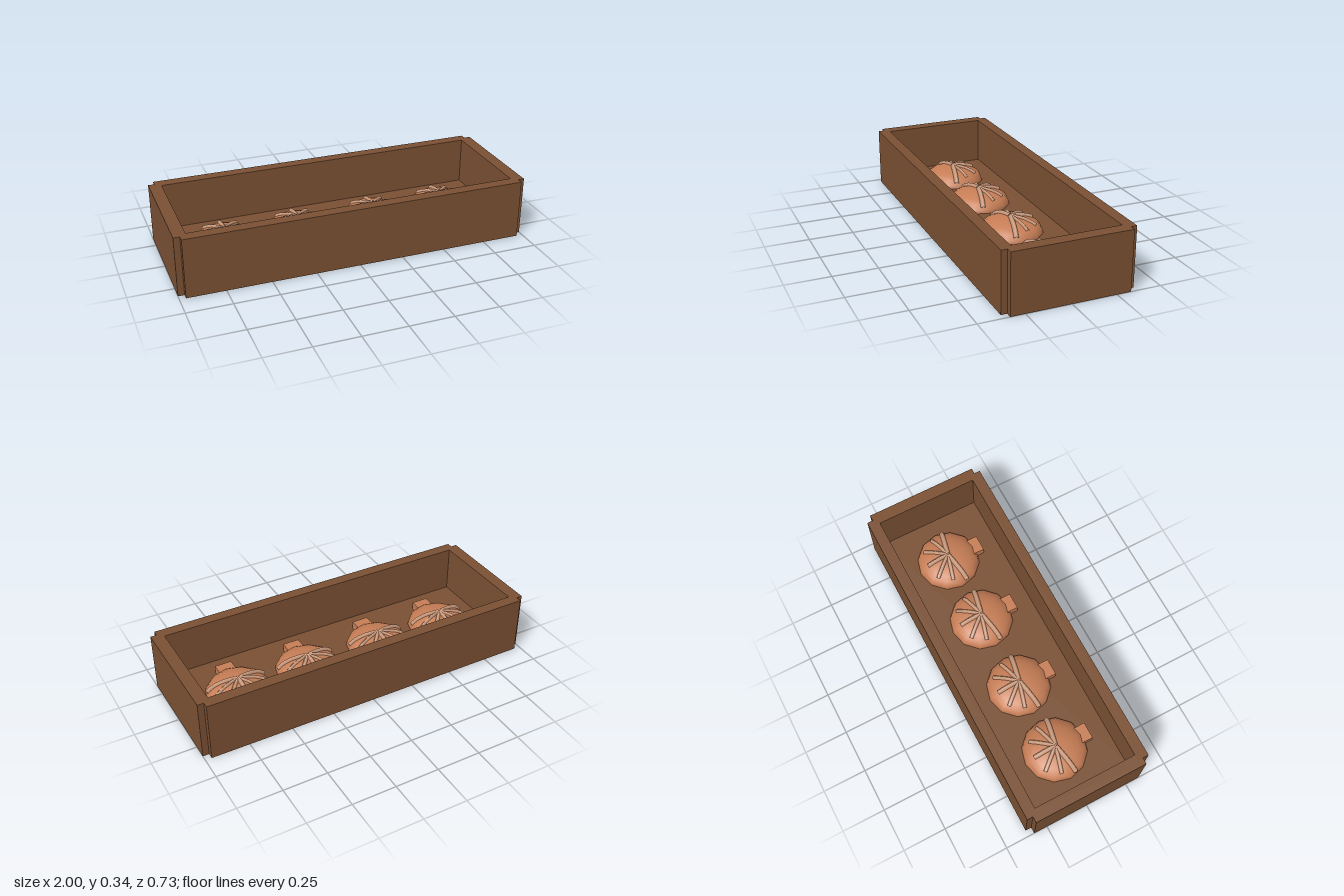
import * as THREE from 'three';

export function createModel() {
  const model = new THREE.Group();
  const mat = (name, color) => {
    const m = new THREE.MeshStandardMaterial({ color });
    m.name = name;
    return m;
  };
  const wood = mat('wood', 0x7a5033);
  const shellColor = mat('shell', 0xc67d55);
  const ribColor = mat('rib', 0xd6a384);

  const add = (parent, name, geometry, material, x = 0, y = 0, z = 0) => {
    const mesh = new THREE.Mesh(geometry, material);
    mesh.name = name;
    mesh.position.set(x, y, z);
    parent.add(mesh);
    return mesh;
  };

  // Open tray: floor and four walls that leave a small notch at each corner
  const H = 0.34, FLOOR = 0.07;
  add(model, 'floor', new THREE.BoxGeometry(1.88, FLOOR, 0.62), wood, 0, FLOOR / 2, 0);
  for (const s of [1, -1]) {
    add(model, s > 0 ? 'frontWall' : 'backWall',
      new THREE.BoxGeometry(1.93, H, 0.064), wood, 0, H / 2, s * 0.332);
    add(model, s > 0 ? 'leftWall' : 'rightWall',
      new THREE.BoxGeometry(0.07, H, 0.66), wood, s * 0.965, H / 2, 0);
  }

  // Flattened dome of each seashell
  const R = 0.184, DOME = 0.092;
  const dome = new THREE.SphereGeometry(R, 12, 6, 0, Math.PI * 2, 0, Math.PI / 2);
  dome.scale(1, DOME / R, 1);

  // Rib running outwards over the dome, at an angle from the back
  const rib = (angle, length, radius) => {
    const points = [];
    for (let i = 0; i <= 5; i++) {
      const r = 0.005 + (length - 0.005) * i / 5;
      const y = DOME * Math.sqrt(1 - (r / R) ** 2);
      points.push(new THREE.Vector3(Math.sin(angle) * r, y, -Math.cos(angle) * r));
    }
    return new THREE.TubeGeometry(new THREE.CatmullRomCurve3(points), 8, radius, 4);
  };
  const ribs = [[0, 0.13, 0.013], [40, 0.147, 0.011], [75, 0.15, 0.011], [103, 0.172, 0.014]]
    .flatMap(([deg, length, radius]) => (deg ? [deg, -deg] : [0])
      .map((d) => rib(THREE.MathUtils.degToRad(d), length, radius)));
  const hinge = new THREE.BoxGeometry(0.096, 0.05, 0.08);

  // Four seashells in a row
  for (const x of [-0.655, -0.233, 0.226, 0.65]) {
    const shell = new THREE.Group();
    shell.name = 'seashell';
    shell.position.set(x, FLOOR, -0.015);
    add(shell, 'shellDome', dome, shellColor);
    add(shell, 'shellHinge', hinge, shellColor, 0, 0.02, 0.172);
    for (const geometry of ribs) add(shell, 'shellRib', geometry, ribColor);
    model.add(shell);
  }
  return model;
}
